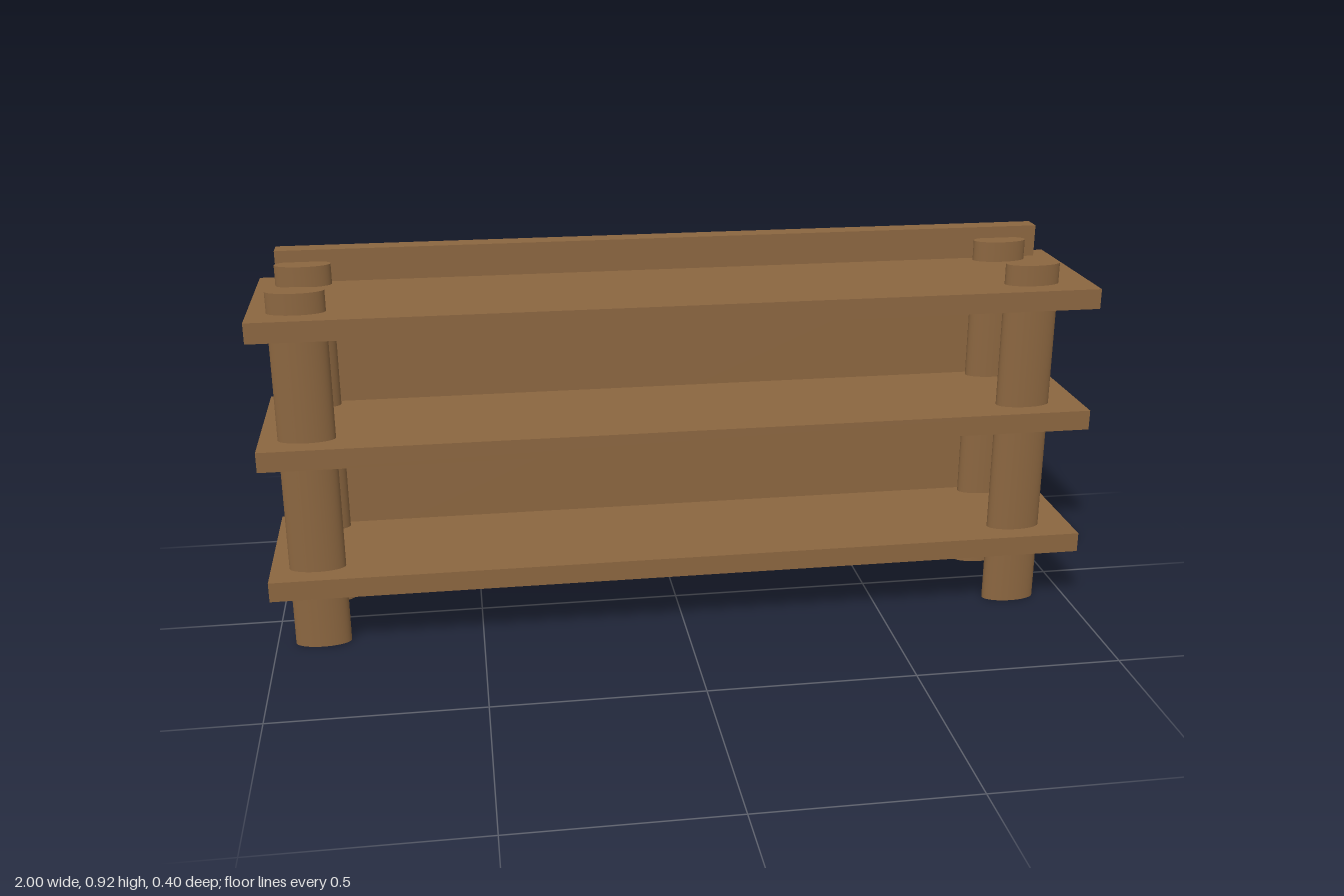
import * as THREE from 'three';

export function createModel() {
  const group = new THREE.Group();
  const wood = new THREE.MeshStandardMaterial({ color: 0x8b6640 });

  function add(name, geometry, x, y, z) {
    const mesh = new THREE.Mesh(geometry, wood);
    mesh.name = name;
    mesh.position.set(x, y, z);
    group.add(mesh);
  }

  // Three full-width shelf boards
  const shelf = new THREE.BoxGeometry(2, 0.049, 0.4);
  [['lowerShelf', 0.176], ['middleShelf', 0.505], ['upperShelf', 0.813]]
    .forEach(([name, y]) => add(name, shelf, 0, y, 0));

  // Four oval posts, passing through all the shelves
  const postHeight = 0.888;
  const post = new THREE.CylinderGeometry(1, 1, postHeight, 48);
  post.scale(0.067, 1, 0.03);
  for (const [side, x] of [['Right', -0.889], ['Left', 0.853]]) {
    add(`front${side}Post`, post, x, postHeight / 2, 0.122);
    add(`back${side}Post`, post, x, postHeight / 2, -0.12);
  }

  // Back panel, set just inside the rear shelf edges
  add('backPanel', new THREE.BoxGeometry(1.91, 0.838, 0.049), 0, 0.498, -0.166);

  return group;
}
